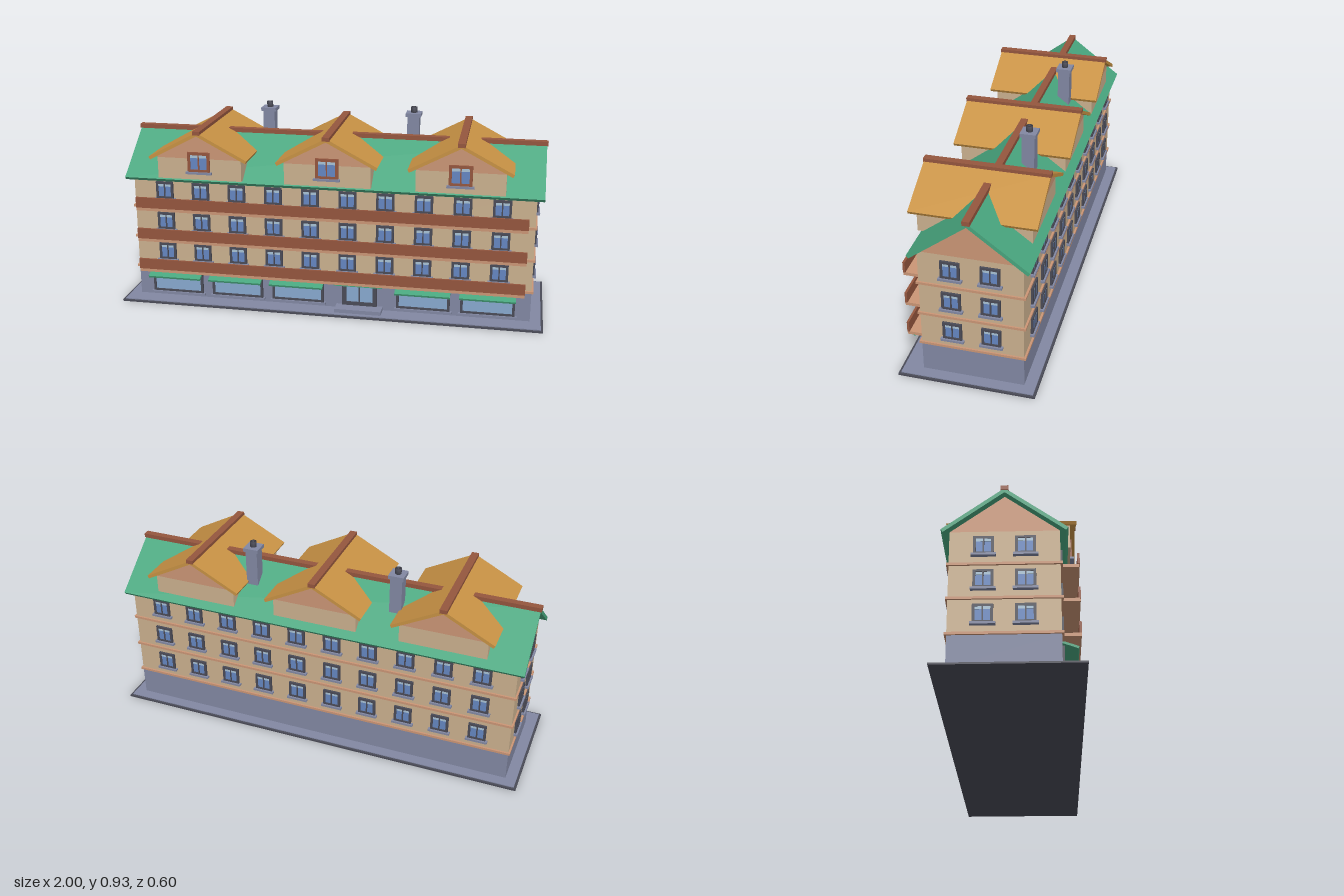
import * as THREE from 'three';

const mat = (name, color) => {
  const m = new THREE.MeshStandardMaterial({ color });
  m.name = name;
  return m;
};
const M = {
  plaster: mat('plaster', 0xcbb18f),
  slate: mat('slateBlue', 0x8288a3),
  green: mat('roofGreen', 0x48a67e),
  brown: mat('brown', 0x95563e),
  orange: mat('dormerOrange', 0xc89244),
  pink: mat('clayPink', 0xcb9676),
  dark: mat('darkTrim', 0x4a4b57),
  glass: mat('windowGlass', 0x6587c2),
  shopGlass: mat('shopGlass', 0x88a9cf),
  pale: mat('paleGlass', 0xa9c3d6),
};

const ZC = -0.0175;            // centre line of the main block
const WX = 0.94, WZ = 0.2225;  // half length and half depth of the walls
const FRONT = ZC + WZ, BACK = ZC - WZ;
const STOREY = 0.1535;

function add(parent, name, geo, material, x = 0, y = 0, z = 0) {
  const m = new THREE.Mesh(geo, material);
  m.name = name;
  m.position.set(x, y, z);
  parent.add(m);
  return m;
}

// Box given by its min/max on each axis
function box(parent, name, material, x0, x1, y0, y1, z0, z1) {
  return add(parent, name, new THREE.BoxGeometry(x1 - x0, y1 - y0, z1 - z0), material,
    (x0 + x1) / 2, (y0 + y1) / 2, (z0 + z1) / 2);
}

// Extrusion of a polygon, centred along z
function prism(points, depth) {
  const shape = new THREE.Shape(points.map(([x, y]) => new THREE.Vector2(x, y)));
  return new THREE.ExtrudeGeometry(shape, { depth, bevelEnabled: false }).translate(0, 0, -depth / 2);
}

// Folded roof slab with ends cut square to the slope
function roofSlab(half, ridge, eave, thick, depth) {
  const len = Math.hypot(half, ridge - eave);
  const nx = (ridge - eave) / len * thick, ny = half / len * thick;
  const under = ridge - thick * len / half;
  return prism([[0, ridge], [-half, eave], [-half + nx, eave - ny], [0, under],
    [half - nx, eave - ny], [half, eave]], depth);
}

// Frame with a row of openings; origin at the bottom centre of the back
function frameGeometry(w, h, border, panes, depth) {
  const s = new THREE.Shape([[-w / 2, 0], [w / 2, 0], [w / 2, h], [-w / 2, h]].map(p => new THREE.Vector2(...p)));
  const bar = 0.006, pw = (w - 2 * border - (panes - 1) * bar) / panes;
  for (let i = 0; i < panes; i++) {
    const x = -w / 2 + border + i * (pw + bar);
    s.holes.push(new THREE.Path([[x, border], [x, h - border], [x + pw, h - border], [x + pw, border]]
      .map(p => new THREE.Vector2(...p))));
  }
  return new THREE.ExtrudeGeometry(s, { depth, bevelEnabled: false });
}

// Window facing +z with glass, pale upper lights and a sill
function makeWindow(name, { w, h, border, panes, frameMat, glassMat, upper, sill }) {
  const frame = frameGeometry(w, h, border, panes, 0.01);
  const gw = w - 2 * border, gh = h - 2 * border;
  const glass = new THREE.BoxGeometry(gw, gh, 0.006);
  const light = new THREE.BoxGeometry(gw, gh * 0.2, 0.002);
  const ledge = new THREE.BoxGeometry(w + 0.018, 0.01, 0.018);
  return (parent, x, y, z, turn = 0) => {
    const g = new THREE.Group();
    g.name = name;
    add(g, 'frame', frame, frameMat);
    add(g, 'glass', glass, glassMat, 0, h / 2, 0.003);
    if (upper) add(g, 'upperLight', light, M.pale, 0, h - border - gh * 0.1, 0.007);
    if (sill) add(g, 'sill', ledge, M.slate, 0, -0.003, 0.009);
    g.position.set(x, y, z);
    g.rotation.y = turn;
    parent.add(g);
  };
}

export function createModel() {
  const root = new THREE.Group();
  root.name = 'apartmentBuilding';

  // Ground slab and main walls
  box(root, 'groundSlab', M.dark, -1, 1, 0, 0.008, -0.3, 0.3);
  box(root, 'pavement', M.slate, -0.99, 0.99, 0.008, 0.012, -0.29, 0.29);
  box(root, 'groundFloor', M.slate, -WX, WX, 0.012, 0.152, BACK, FRONT);
  box(root, 'upperWalls', M.plaster, -WX, WX, 0.152, 0.615, BACK, FRONT);

  // Main roof
  const gable = add(root, 'endGables', prism([[-WZ, 0.615], [WZ, 0.615], [0, 0.783]], WX * 2), M.pink, 0, 0, ZC);
  const roof = add(root, 'mainRoof', roofSlab(0.256, 0.802, 0.61, 0.016, 1.946), M.green, 0, 0, ZC);
  gable.rotation.y = roof.rotation.y = Math.PI / 2;
  box(root, 'mainRidgeCap', M.brown, -0.978, 0.978, 0.792, 0.812, ZC - 0.016, ZC + 0.016);

  // Storeys: band, balcony and windows on all four sides
  const placeWindow = makeWindow('window', {
    w: 0.083, h: 0.083, border: 0.011, panes: 2, frameMat: M.dark, glassMat: M.glass, upper: true, sill: true,
  });
  for (let f = 0; f < 3; f++) {
    const y = f * STOREY;
    box(root, 'floorBand', M.pink, -WX - 0.008, WX + 0.008, 0.151 + y, 0.162 + y, BACK - 0.009, FRONT + 0.009);
    box(root, 'balconySlab', M.pink, -0.908, 0.908, 0.156 + y, 0.17 + y, FRONT - 0.01, 0.281);
    box(root, 'balconyParapet', M.brown, -0.91, 0.91, 0.17 + y, 0.22 + y, 0.272, 0.282);
    for (let i = 0; i < 10; i++) {
      const x = -0.79 + i * 1.58 / 9;
      placeWindow(root, x, 0.199 + y, FRONT, 0);
      placeWindow(root, x, 0.199 + y, BACK, Math.PI);
    }
    for (const dz of [-0.084, 0.084]) {
      placeWindow(root, WX, 0.199 + y, ZC + dz, Math.PI / 2);
      placeWindow(root, -WX, 0.199 + y, ZC + dz, -Math.PI / 2);
    }
  }

  // Shop fronts with sloping awnings
  const placeShop = makeWindow('shopWindow', {
    w: 0.25, h: 0.103, border: 0.012, panes: 1, frameMat: M.dark, glassMat: M.shopGlass, sill: true,
  });
  const awning = new THREE.BoxGeometry(0.256, 0.01, 0.07);
  for (const x of [-0.745, -0.447, -0.149, 0.447, 0.745]) {
    placeShop(root, x, 0.031, FRONT);
    add(root, 'awning', awning, M.green, x, 0.137, FRONT + 0.033).rotation.x = 0.36;
  }

  // Entrance: door, canopy and step
  const placeDoor = makeWindow('entranceDoor', {
    w: 0.165, h: 0.117, border: 0.02, panes: 2, frameMat: M.dark, glassMat: M.shopGlass,
  });
  placeDoor(root, 0.147, 0.028, FRONT);
  box(root, 'doorCanopy', M.green, 0.035, 0.26, 0.147, 0.154, FRONT, 0.27);
  box(root, 'doorStep', M.slate, 0.037, 0.257, 0.012, 0.03, FRONT, 0.272);

  // Dormers running through the roof from front to back
  const placeDormerWindow = makeWindow('dormerWindow', {
    w: 0.105, h: 0.095, border: 0.013, panes: 2, frameMat: M.brown, glassMat: M.glass, upper: true, sill: true,
  });
  const dormerGable = prism([[-0.2, 0.72], [0.2, 0.72], [0.2, 0.729], [0, 0.834], [-0.2, 0.729]], 0.489);
  const dormerRoof = roofSlab(0.234, 0.85, 0.727, 0.015, 0.543);
  for (const x of [-0.602, 0, 0.602]) {
    const d = new THREE.Group();
    d.name = 'dormer';
    d.position.x = x;
    box(d, 'dormerWalls', M.plaster, -0.2, 0.2, 0.62, 0.72, -0.24, 0.249);
    add(d, 'dormerGable', dormerGable, M.pink, 0, 0, 0.0045);
    add(d, 'dormerRoof', dormerRoof, M.orange, 0, 0, 0.0045);
    box(d, 'dormerRidgeCap', M.brown, -0.017, 0.017, 0.838, 0.856, -0.27, 0.279);
    placeDormerWindow(d, 0, 0.657, 0.249);
    root.add(d);
  }

  // Chimneys on the back slope
  const potProfile = [[0.007, 0], [0.015, 0], [0.015, 0.027], [0.007, 0.027], [0.007, 0]];
  const pot = new THREE.LatheGeometry(potProfile.map(p => new THREE.Vector2(...p)), 12);
  for (const x of [-0.35, 0.35]) {
    box(root, 'chimneyStack', M.slate, x - 0.028, x + 0.028, 0.65, 0.883, -0.139, -0.083);
    box(root, 'chimneyCap', M.slate, x - 0.036, x + 0.036, 0.883, 0.9, -0.147, -0.075);
    add(root, 'chimneyPot', pot, M.dark, x, 0.899, -0.111);
  }

  return root;
}
